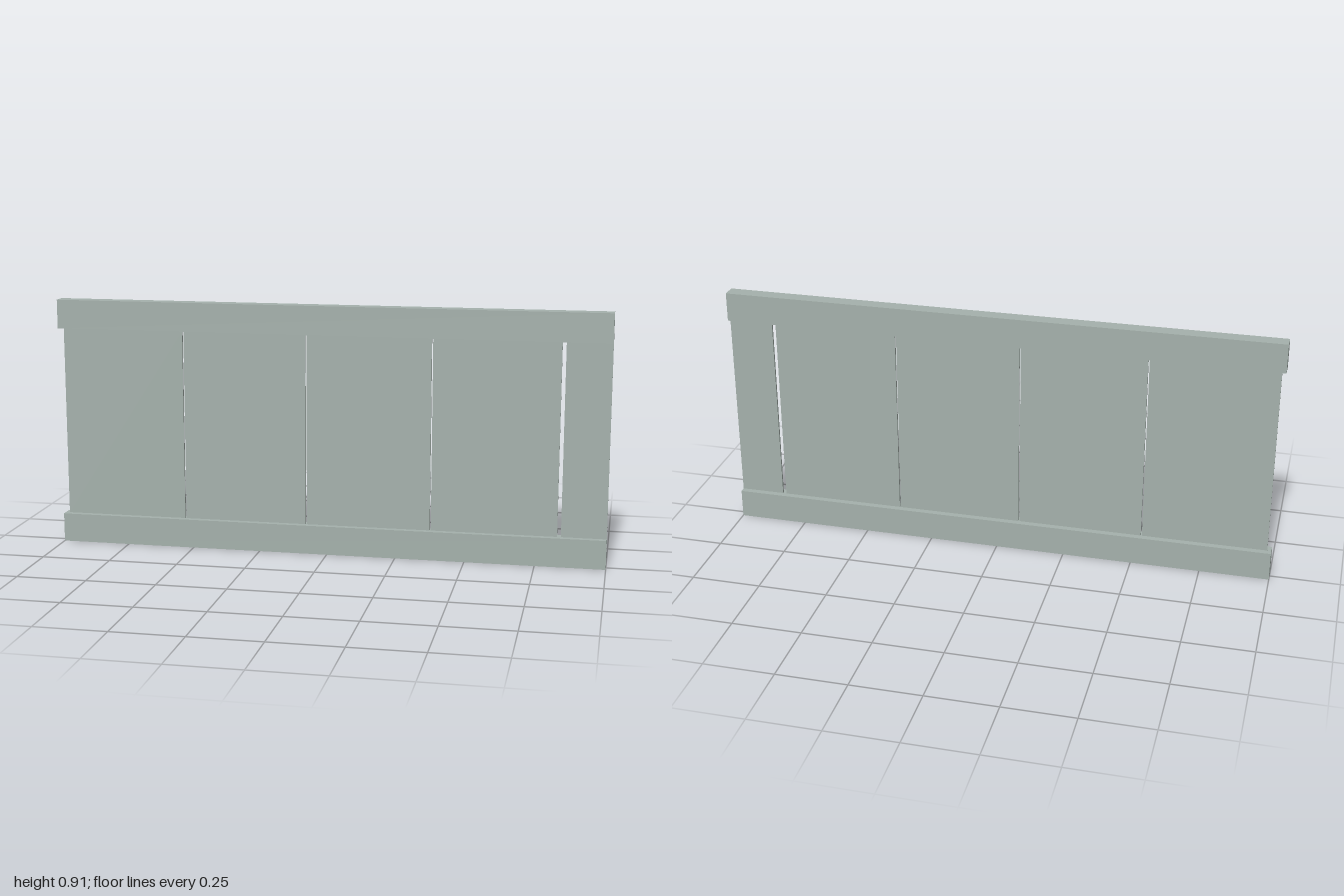
import * as THREE from 'three';

export function createModel() {
  const group = new THREE.Group();
  const paleGreyGreen = new THREE.MeshStandardMaterial({ color: 0xa5b1ac });
  paleGreyGreen.name = 'paleGreyGreen';

  // Box placed by its left, right, bottom and top edges, centred on z = 0
  const addBox = (name, x0, x1, y0, y1, depth) => {
    const mesh = new THREE.Mesh(new THREE.BoxGeometry(x1 - x0, y1 - y0, depth), paleGreyGreen);
    mesh.position.set((x0 + x1) / 2, (y0 + y1) / 2, 0);
    mesh.name = name;
    group.add(mesh);
  };

  const railHeight = 0.105, height = 0.907, railDepth = 0.052;
  const panelDepth = 0.008, panelWidth = 0.4495, gap = 0.0045, firstEdge = -0.985;

  // Top and bottom rails
  addBox('bottomRail', -1, 1, 0, railHeight, railDepth);
  addBox('topRail', -1, 1, height - railHeight, height, railDepth);

  // Four full panels with thin gaps between them
  for (let i = 0; i < 4; i++) {
    const x = firstEdge + i * (panelWidth + gap);
    addBox(`panel${i + 1}`, x, x + panelWidth, railHeight, height - railHeight, panelDepth);
  }

  // Narrow end panel behind a wider gap
  addBox('endPanel', 0.84, 1, railHeight, height - railHeight, panelDepth);

  return group;
}
